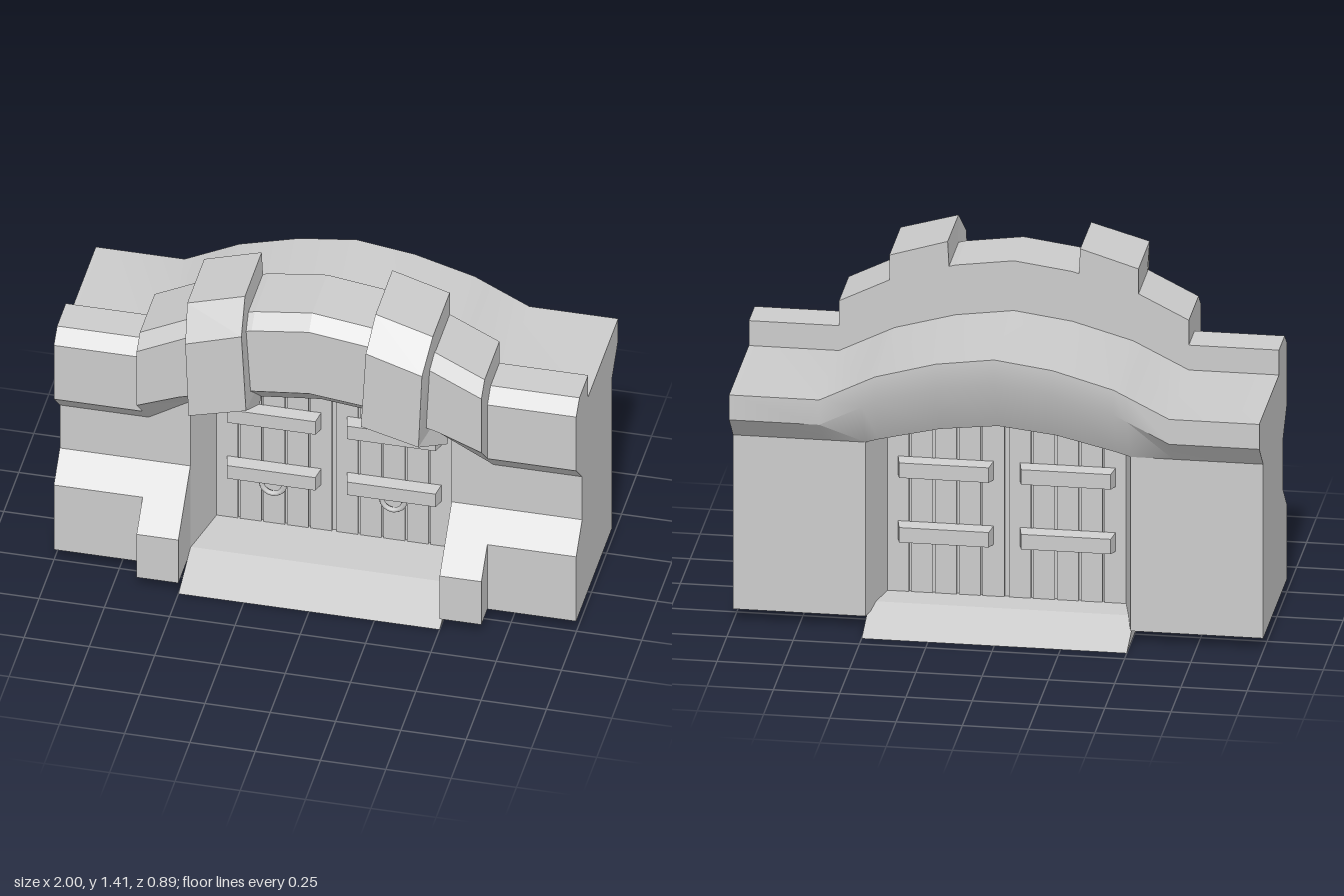
import * as THREE from 'three';
import { toCreasedNormals } from 'three/addons/utils/BufferGeometryUtils.js';

const material = new THREE.MeshStandardMaterial({ color: 0xcccccc });

function add(parent, name, geometry) {
  const mesh = new THREE.Mesh(geometry, material);
  mesh.name = name;
  parent.add(mesh);
  return mesh;
}

// Closed solid through a row of [x, y, z] cross-sections, flat shaded
function loft(sections) {
  let rows = sections.slice();
  if (rows[0][0][0] < rows[rows.length - 1][0][0]) rows.reverse();
  const flat = (row) => row.map(([, y, z]) => new THREE.Vector2(z, y));
  if (THREE.ShapeUtils.isClockWise(flat(rows[0]))) rows = rows.map((r) => r.slice().reverse());
  const out = [];
  const tri = (a, b, c) => out.push(...a, ...b, ...c);
  for (let i = 0; i < rows.length - 1; i++) {
    const p = rows[i], q = rows[i + 1];
    p.forEach((a, j) => {
      const k = (j + 1) % p.length;
      tri(a, p[k], q[k]);
      tri(a, q[k], q[j]);
    });
  }
  const first = rows[0], last = rows[rows.length - 1];
  for (const [a, b, c] of THREE.ShapeUtils.triangulateShape(flat(first), [])) tri(first[c], first[b], first[a]);
  for (const [a, b, c] of THREE.ShapeUtils.triangulateShape(flat(last), [])) tri(last[a], last[b], last[c]);
  const g = new THREE.BufferGeometry();
  g.setAttribute('position', new THREE.Float32BufferAttribute(out, 3));
  g.computeVertexNormals();
  return g;
}

// Straight bar along x with a [z, y] profile
const prism = (profile, x0, x1) => loft([x0, x1].map((x) => profile.map(([z, y]) => [x, y, z])));

// Half of the arch from the crown outwards: x, top, front lower edge, soffit
const stations = [
  [0, 1.35, 1.015, 0.845],
  [0.22, 1.32, 0.99, 0.82],
  [0.45, 1.255, 0.93, 0.765],
  [0.5, 1.23, 0.915, 0.75],
  [0.66, 1.15, 0.85, 0.65],
];
const mirrored = (half) => [
  ...half.slice(1).reverse().map(([x, ...r]) => [-x, ...r]),
  ...half,
];

function soffitAt(x) {
  const i = Math.abs(x) < 0.22 ? 0 : 1;
  const [x0, , , y0] = stations[i], [x1, , , y1] = stations[i + 1];
  return y0 + (y1 - y0) * (Math.abs(x) - x0) / (x1 - x0);
}

// Bar whose outward face is slightly smaller than its base
function strapGeometry() {
  const g = new THREE.BoxGeometry(0.36, 0.075, 0.05).toNonIndexed();
  const p = g.attributes.position;
  for (let i = 0; i < p.count; i++) {
    if (p.getZ(i) > 0) p.setXY(i, p.getX(i) * 0.94, p.getY(i) * 0.8);
  }
  g.computeVertexNormals();
  return g;
}

export function createModel() {
  const model = new THREE.Group();
  model.name = 'gatehouse';

  // Front arch
  add(model, 'frontArch', loft(mirrored(stations).map(([x, t, b, s]) => [
    [x, t, 0.055], [x, t, 0.3], [x, t - 0.05, 0.355], [x, b, 0.355], [x, s, 0.155], [x, s, 0.055],
  ])));

  // Curved roof behind it, with flat shoulders
  const roofStations = [...stations, [1, 1.15, 0, 0.75]];
  add(model, 'roof', toCreasedNormals(loft(mirrored(roofStations).map(([x, t, , s]) => {
    const low = Math.max(s, 0.75), r = t - 0.2;
    return [[x, r, 0.055], [x, r, -0.445], [x, r - 0.1, -0.445], [x, low, -0.345], [x, low, 0.055]];
  })), 0.6));

  // Sloped doorstep
  add(model, 'doorstep', prism([[0.355, 0], [0.15, 0.07], [-0.24, 0.07], [-0.445, 0]], -0.5, 0.5));

  const wallProfile = [
    [0.255, 0.05], [0.255, 0.35], [0.155, 0.45], [0.155, 0.65], [0.255, 0.75], [0.255, 1],
    [0.2, 1.05], [0.055, 1.05], [0.055, 0.75], [-0.345, 0.75], [-0.345, 0.05],
  ];
  const footProfile = [[0.355, 0.05], [0.355, 0.25], [0.155, 0.45], [0.155, 0.05]];
  const pierPlan = [[0.66, 0.155], [0.5, 0.155], [0.45, -0.065], [0.45, -0.125], [0.5, -0.345], [0.66, -0.345]];
  // Arch ribs: outer then inner cross-section
  const ribSections = [
    [[0.47, 1.345, 0.055], [0.47, 1.345, 0.337], [0.453, 1.235, 0.445], [0.44, 0.905, 0.447],
      [0.495, 0.75, 0.2], [0.47, 0.85, 0.055]],
    [[0.25, 1.413, 0.055], [0.25, 1.41, 0.333], [0.238, 1.305, 0.445], [0.22, 0.965, 0.447],
      [0.225, 0.815, 0.2], [0.225, 0.9, 0.055]],
  ];

  for (const s of [1, -1]) {
    const side = new THREE.Group();
    side.name = s > 0 ? 'leftSide' : 'rightSide';
    model.add(side);

    // Wall, foot, door pier and arch rib
    add(side, 'wall', prism(wallProfile, s * 0.66, s));
    add(side, 'foot', prism(footProfile, s * 0.5, s * 0.66));
    const plan = new THREE.Shape(pierPlan.map(([x, z]) => new THREE.Vector2(s * x, -z)));
    const pier = new THREE.ExtrudeGeometry(plan, { depth: 0.7, bevelEnabled: false });
    add(side, 'doorPier', pier.rotateX(-Math.PI / 2).translate(0, 0.05, 0));
    add(side, 'archRib', loft(ribSections.map((row) => row.map(([x, y, z]) => [s * x, y, z]))));

    // Door leaf: backing panel, planks, straps and ring
    const door = new THREE.Group();
    door.name = 'door';
    side.add(door);
    add(door, 'panel', prism([[-0.075, 0.05], [-0.075, 0.78], [-0.115, 0.78], [-0.115, 0.05]], 0, s * 0.45));
    for (let i = 0; i < 5; i++) {
      const x = 0.05 + i * 0.09;
      const x0 = x - 0.041, x1 = x + 0.041;
      const plank = [x0, x1].map((px) => {
        const top = soffitAt(px) + 0.01;
        return [[s * px, 0.05, -0.065], [s * px, top, -0.065], [s * px, top, -0.125], [s * px, 0.05, -0.125]];
      });
      add(door, 'plank', loft(plank));
    }
    for (const y of [0.315, 0.575]) {
      add(door, 'frontStrap', strapGeometry()).position.set(s * 0.23, y, -0.04);
      const back = add(door, 'backStrap', strapGeometry());
      back.position.set(s * 0.23, y, -0.15);
      back.rotation.y = Math.PI;
    }
    const ring = add(door, 'ringHandle', new THREE.TorusGeometry(0.043, 0.011, 6, 16));
    ring.position.set(s * 0.23, 0.266, -0.045);
  }
  return model;
}
